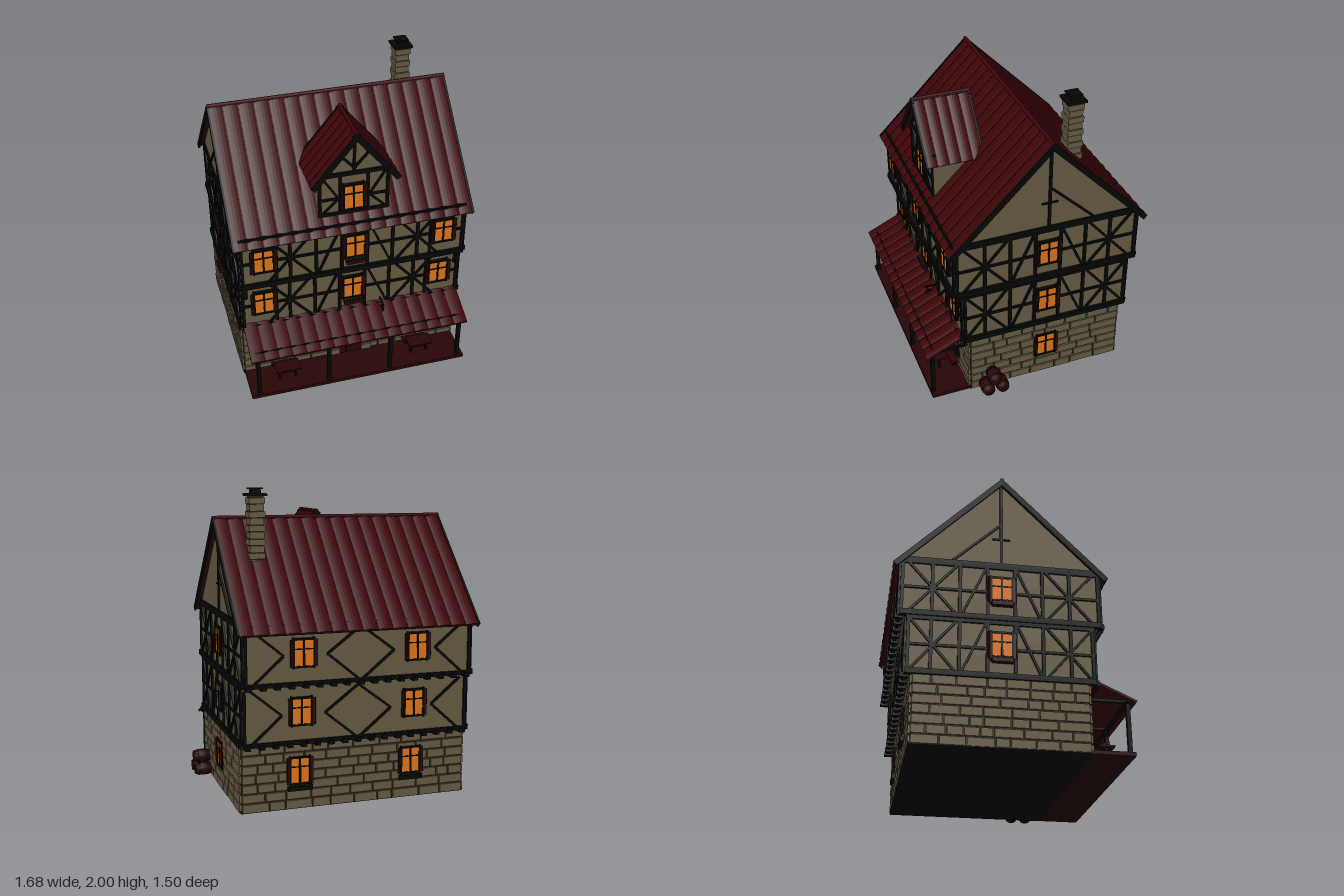
import * as THREE from 'three';
import { mergeGeometries } from 'three/addons/utils/BufferGeometryUtils.js';

const paint = (name, color) => Object.assign(new THREE.MeshStandardMaterial({ color }), { name });
const plaster = paint('plaster', 0x675c43), stone = paint('stone', 0x665c44), mortar = paint('mortar', 0x282416);
const timber = paint('dark timber', 0x050706), tile = paint('roof tile', 0x3d0407), seam = paint('roof seam', 0x1f0204);
const wood = paint('red wood', 0x290507), glow = paint('lit glass', 0xe0751c), leaf = paint('leaf', 0x10170a);
const CX = -0.0375, CZ = -0.075, HX = 0.75;
let seed = 7;
const rand = () => (seed = (seed * 16807) % 2147483647) / 2147483647;

function group(parent, name, x = 0, y = 0, z = 0, yaw = 0) {
  const g = new THREE.Group();
  g.name = name;
  g.position.set(x, y, z);
  g.rotation.y = yaw;
  parent.add(g);
  return g;
}
function add(parent, name, geo, mat, x = 0, y = 0, z = 0) {
  const m = new THREE.Mesh(geo, mat);
  m.name = name;
  m.position.set(x, y, z);
  parent.add(m);
  return m;
}
const box = (parent, name, mat, w, h, d, x, y, z) => add(parent, name, new THREE.BoxGeometry(w, h, d), mat, x, y, z);
const prism = (points, depth) => new THREE.ExtrudeGeometry(
  new THREE.Shape(points.map(p => new THREE.Vector2(...p))), { depth, bevelEnabled: false });

// Flat timber between two points on a wall plane
function beam(parent, x1, y1, x2, y2, w = 0.02, z = 0, d = 0.024) {
  const m = box(parent, 'timber', timber, Math.hypot(x2 - x1, y2 - y1), w, d, (x1 + x2) / 2, (y1 + y2) / 2, z);
  m.rotation.z = Math.atan2(y2 - y1, x2 - x1);
}
// Window with lit panes, frame and optional shutters, flower box or sill
function windowAt(parent, x, y, { shutters = true, flowers = false, sill = false, h = 0.17 } = {}) {
  const g = group(parent, 'window', x, y, 0), w = 0.13;
  box(g, 'panes', glow, w, h, 0.008, 0, 0, 0.014);
  for (const s of [-1, 1]) {
    box(g, 'frameSide', timber, 0.012, h + 0.02, 0.03, s * w / 2, 0, 0.01);
    box(g, 'frameRail', timber, w + 0.012, 0.012, 0.03, 0, s * h / 2, 0.01);
    if (shutters) box(g, 'shutter', wood, 0.018, h, 0.007, s * (w / 2 + 0.014), 0, 0.02).rotation.y = -s * 0.5;
  }
  box(g, 'mullion', timber, 0.012, h, 0.01, 0, 0, 0.018);
  box(g, 'glazingBar', timber, w, 0.007, 0.01, 0, 0.025, 0.018);
  if (sill) box(g, 'sill', timber, 0.16, 0.03, 0.03, 0, -h / 2 - 0.028, 0.018);
  if (!flowers) return;
  box(g, 'flowerBox', wood, 0.13, 0.026, 0.034, 0, -h / 2 - 0.02, 0.038);
  for (let i = 0; i < 6; i++)
    add(g, 'plant', new THREE.IcosahedronGeometry(0.011 + rand() * 0.005, 0), leaf, -0.053 + i * 0.021, -h / 2, 0.038);
}
// Gently scalloped tile panel: ridge at local z = 0, falling along +z
function roofPanel(parent, name, length, run, n, x, y, z, pitch, yaw, barge = true) {
  const g = group(parent, name, x, y, z), s = new THREE.Shape(), step = length / n;
  g.rotation.set(pitch, yaw, 0, 'YXZ');
  s.moveTo(-length / 2, -0.022).lineTo(length / 2, -0.022).lineTo(length / 2, -0.007);
  for (let i = 0; i < n; i++) {
    const a = length / 2 - i * step;
    s.quadraticCurveTo(a - step / 2, 0.007, a - step, -0.007);
  }
  add(g, 'tiles', new THREE.ExtrudeGeometry(s, { depth: run, bevelEnabled: false, curveSegments: 5 }), tile);
  for (let i = 1; i < n; i++) box(g, 'seam', seam, 0.005, 0.005, run, -length / 2 + i * step, -0.007, run / 2);
  if (barge) for (const e of [-1, 1])
    box(g, 'bargeboard', timber, 0.014, 0.036, run, e * (length / 2 - 0.006), -0.018, run / 2);
}
// Half-timber pattern, mirrored about the middle bay
function timberFrame(f, half, y0, y1) {
  const mid = (y0 + y1) / 2, e = Math.min(half, 0.59);
  beam(f, -half, y0 + 0.015, half, y0 + 0.015, 0.035, 0.004, 0.034);
  beam(f, -half, y1 - 0.012, half, y1 - 0.012, 0.03);
  beam(f, -half, mid, half, mid, 0.016);
  for (const s of [-1, 1]) {
    for (const p of [0.085, 0.255, 0.425, half - 0.012]) beam(f, s * p, y0, s * p, y1, 0.021);
    if (half > 0.7) beam(f, s * 0.515, y0, s * 0.515, y1, 0.018);
    beam(f, s * 0.255, y0, s * 0.085, y1, 0.015);
    beam(f, s * 0.255, y0, s * e, y1, 0.015);
    beam(f, s * 0.255, y1, s * e, y0, 0.015);
  }
}
// Plain back wall with timber diamonds
function diamondFrame(f, half, y0, y1) {
  beam(f, -half, y0 + 0.012, half, y0 + 0.012, 0.028);
  for (const s of [-1, 1]) {
    beam(f, s * (half - 0.012), y0, s * (half - 0.012), y1 - 0.025, 0.02);
    for (const y of [y0 + 0.01, y1 - 0.025]) {
      beam(f, 0, y, s * 0.22, (y0 + y1) / 2, 0.015);
      beam(f, s * 0.7, y, s * 0.5, (y0 + y1) / 2, 0.015);
    }
  }
}
// Courses of blocks laid on a wall plane
function masonry(f, half, height) {
  const rows = 7, rh = height / rows, geos = [];
  for (let r = 0; r < rows; r++) for (let x = -half; x < half - 0.001;) {
    let w = 0.08 + rand() * 0.11;
    if (half - x - w < 0.07) w = half - x;
    geos.push(new THREE.BoxGeometry(w - 0.01, rh - 0.01, 0.02).translate(x + w / 2, (r + 0.5) * rh, rand() * 0.004));
    x += w;
  }
  add(f, 'stoneBlocks', mergeGeometries(geos), stone);
}
function buildWalls(root) {
  const floors = [[0.006, 0.43, 0.53, 0.25], [0.43, 0.81, 0.573, 0.64], [0.81, 1.19, 0.62, 1.015]];
  floors.forEach(([y0, y1, hz, wy], i) => {
    box(root, 'floorBody', i ? plaster : mortar, HX * 2, y1 - y0, hz * 2, CX, (y0 + y1) / 2, CZ);
    const front = group(root, 'frontWall', CX, 0, CZ + hz), back = group(root, 'backWall', CX, 0, CZ - hz, Math.PI);
    const left = group(root, 'leftWall', CX + HX, 0, CZ, Math.PI / 2);
    const right = group(root, 'rightWall', CX - HX, 0, CZ, -Math.PI / 2);
    windowAt(left, 0, wy - 0.005);
    for (const s of [-1, 1]) windowAt(back, s * 0.375, wy, { sill: i === 0 });
    if (i === 0) {
      for (const f of [front, back]) masonry(f, HX, y1);
      for (const f of [left, right]) masonry(f, hz, y1);
      for (const s of [-1, 1]) windowAt(front, s * 0.487, wy, { shutters: false, sill: true });
      return;
    }
    timberFrame(front, HX, y0, y1);
    diamondFrame(back, HX, y0, y1);
    for (const f of [left, right]) timberFrame(f, hz, y0, y1);
    for (const s of [-1, 0, 1]) windowAt(front, s * 0.6, wy, { flowers: s === 0 });
    windowAt(right, 0, wy, { flowers: true });
    // joist ends and curved brackets under the overhang
    for (let k = 0; k < 17; k++) box(back, 'joistEnd', timber, 0.035, 0.03, 0.05, -0.72 + k * 0.09, y0, 0);
    if (i === 2) for (const s of [-1, 1]) {
      const c = new THREE.QuadraticBezierCurve3(
        new THREE.Vector3(0, 0.69, -0.04), new THREE.Vector3(0, 0.78, -0.035), new THREE.Vector3(0, 0.81, 0.015));
      add(front, 'bracket', new THREE.TubeGeometry(c, 8, 0.011, 6), timber, s * 0.715);
    }
  });
  box(root, 'plinth', timber, 1.51, 0.016, 1.075, CX, 0.008, CZ);
  // door with stone jambs
  const door = group(root, 'door', CX, 0, CZ + 0.53);
  box(door, 'doorLeaf', wood, 0.165, 0.32, 0.02, 0, 0.185, 0.012);
  for (let k = -2; k <= 2; k++) box(door, 'plankGap', seam, 0.004, 0.31, 0.004, k * 0.032, 0.185, 0.023);
  box(door, 'handle', timber, 0.012, 0.03, 0.014, 0.06, 0.18, 0.027);
  box(door, 'lintel', timber, 0.28, 0.025, 0.04, 0, 0.355, 0.01);
  for (const s of [-1, 1]) for (let k = 0; k < 6; k++)
    box(door, 'jambStone', stone, k % 2 ? 0.05 : 0.065, 0.045, 0.04, s * 0.114, 0.045 + k * 0.053, 0.006);
}
function buildRoof(root) {
  add(root, 'gableWall', prism([[-0.6, 1.19], [0.6, 1.19], [0, 1.785]], 1.5), plaster, CX - HX, 0, CZ).rotation.y = Math.PI / 2;
  for (const s of [-1, 1]) {
    const f = group(root, 'gableTimbers', CX + s * HX, 0, CZ, s * Math.PI / 2);
    beam(f, -0.605, 1.19, 0.605, 1.19, 0.034);
    beam(f, 0, 1.2, 0, 1.77, 0.018);
    beam(f, 0, 1.49, s * 0.3, 1.21, 0.014);
    beam(f, -0.055, 1.38, 0.055, 1.38, 0.009);
    const yaw = s > 0 ? 0 : Math.PI;
    roofPanel(root, s > 0 ? 'frontRoof' : 'backRoof', 1.585, 0.67 * Math.SQRT2, 16, CX, 1.815, CZ, Math.PI / 4, yaw);
  }
  add(root, 'ridgeCap', new THREE.CylinderGeometry(0.014, 0.014, 1.585, 8).rotateZ(Math.PI / 2), tile, CX, 1.805, CZ);
  // dormer
  const d = group(root, 'dormer', CX + 0.004, 0, 0), hw = 0.23;
  add(d, 'dormerWalls', prism([[-hw, 1.24], [hw, 1.24], [hw, 1.53], [0, 1.805], [-hw, 1.53]], 0.305), plaster, 0, 0, 0.195);
  add(d, 'dormerRidge', new THREE.CylinderGeometry(0.012, 0.012, 0.385, 8).rotateX(Math.PI / 2), tile, 0, 1.833, 0.368);
  const f = group(d, 'dormerFront', 0, 0, 0.5), b = group(d, 'dormerBack', 0, 0, 0.195, Math.PI);
  for (const s of [-1, 1]) {
    roofPanel(d, 'dormerRoof', 0.385, Math.hypot(0.35, 0.29), 5, 0, 1.842, 0.368, Math.atan2(0.35, 0.29), s * Math.PI / 2);
    for (const w of [f, b]) {
      beam(w, 0, 1.535, s * 0.245, 1.535, 0.028);
      beam(w, 0, 1.57, s * 0.1, 1.68, 0.015);
      beam(w, 0, 1.805, s * 0.25, 1.505, 0.022);
      beam(w, 0, 1.53, 0, 1.81, 0.018);
    }
    beam(f, 0, 1.25, s * hw, 1.25, 0.02);
    for (const p of [0.09, 0.22]) beam(f, s * p, 1.24, s * p, 1.53, 0.02);
    beam(f, s * 0.09, 1.36, s * 0.215, 1.36, 0.015);
    beam(f, s * 0.1, 1.36, s * 0.21, 1.53, 0.013);
    beam(f, s * 0.21, 1.25, s * 0.1, 1.36, 0.013);
  }
  windowAt(f, -0.004, 1.365, { h: 0.18 });
  // chimney
  const c = group(root, 'chimney', 0.525, 0, -0.293);
  box(c, 'core', mortar, 0.085, 0.5, 0.085, 0, 1.7, 0);
  for (let i = 0; i < 11; i++)
    box(c, 'course', stone, i % 2 ? 0.092 : 0.104, 0.037, i % 2 ? 0.092 : 0.104, 0, 1.49 + i * 0.043, 0);
  box(c, 'cap', timber, 0.128, 0.016, 0.128, 0, 1.957, 0);
  box(c, 'flue', timber, 0.06, 0.03, 0.06, 0, 1.976, 0);
  box(c, 'flueLid', timber, 0.085, 0.009, 0.085, 0, 1.9955, 0);
}
function buildPorch(root) {
  const p = group(root, 'porch', CX);
  box(p, 'deck', wood, 1.5, 0.024, 0.27, 0, 0.012, 0.585);
  roofPanel(p, 'porchRoof', 1.49, 0.298, 16, 0, 0.482, 0.48, 0.434, 0, false);
  box(p, 'frontBeam', timber, 1.46, 0.022, 0.024, 0, 0.355, 0.7);
  box(p, 'eavesBar', timber, 1.42, 0.01, 0.01, 0, 0.378, 0.692);
  for (const x of [-0.695, -0.215, 0.215, 0.705]) {
    box(p, 'post', timber, 0.025, 0.335, 0.025, x, 0.19, 0.7);
    box(p, 'tieBeam', timber, 0.018, 0.018, 0.25, x, 0.358, 0.58);
    for (const s of [-1, 1]) if (Math.abs(x + s * 0.05) < 0.73) beam(p, x, 0.3, x + s * 0.05, 0.355, 0.012, 0.7, 0.014);
  }
  // tables with benches
  for (const x of [-0.48, 0.46]) {
    const t = group(p, 'table', x, 0, 0.6);
    box(t, 'tableTop', wood, 0.17, 0.012, 0.1, 0, 0.122, 0);
    box(t, 'bench', wood, 0.17, 0.01, 0.045, 0, 0.06, -0.105);
    box(t, 'stretcher', timber, 0.12, 0.01, 0.01, 0, 0.07, 0);
    for (const s of [-1, 1]) {
      box(t, 'tableLeg', timber, 0.012, 0.1, 0.014, s * 0.055, 0.07, 0);
      box(t, 'benchLeg', timber, 0.012, 0.035, 0.03, s * 0.06, 0.04, -0.105);
    }
  }
  // lantern and hanging board
  const l = group(root, 'lantern', 0.11, 0.32, 0.505);
  box(l, 'lanternGlass', glow, 0.024, 0.04, 0.024, 0, 0, 0);
  add(l, 'lanternCap', new THREE.ConeGeometry(0.02, 0.014, 4), timber, 0, 0.027, 0);
  box(l, 'lanternHook', timber, 0.006, 0.05, 0.006, 0, 0.055, 0);
  const s = group(root, 'hangingBoard', 0.16, 0, 0.53);
  box(s, 'board', timber, 0.012, 0.07, 0.1, 0, 0.42, 0);
  box(s, 'boardArm', timber, 0.01, 0.01, 0.12, 0, 0.488, 0);
  for (const z of [-0.035, 0.035]) box(s, 'chain', timber, 0.005, 0.04, 0.005, 0, 0.47, z);
}
// Stacked barrels beside the left wall
function buildBarrels(root) {
  const prof = [[0, -0.058], [0.037, -0.058], [0.044, -0.025], [0.046, 0], [0.044, 0.025], [0.037, 0.058], [0, 0.058]];
  const staves = new THREE.LatheGeometry(prof.map(q => new THREE.Vector2(...q)), 14).rotateZ(Math.PI / 2);
  const hoop = new THREE.TorusGeometry(0.043, 0.003, 5, 14).rotateY(Math.PI / 2);
  for (const [z, y] of [[0.362, 0.047], [0.262, 0.047], [0.312, 0.126]]) {
    const g = group(root, 'barrel', 0.776, y, z);
    add(g, 'staves', staves, wood);
    for (const x of [-0.03, 0.03]) add(g, 'hoop', hoop, timber, x);
  }
}
export function createModel() {
  const root = new THREE.Group();
  root.name = 'timberInn';
  for (const build of [buildWalls, buildRoof, buildPorch, buildBarrels]) build(root);
  return root;
}
